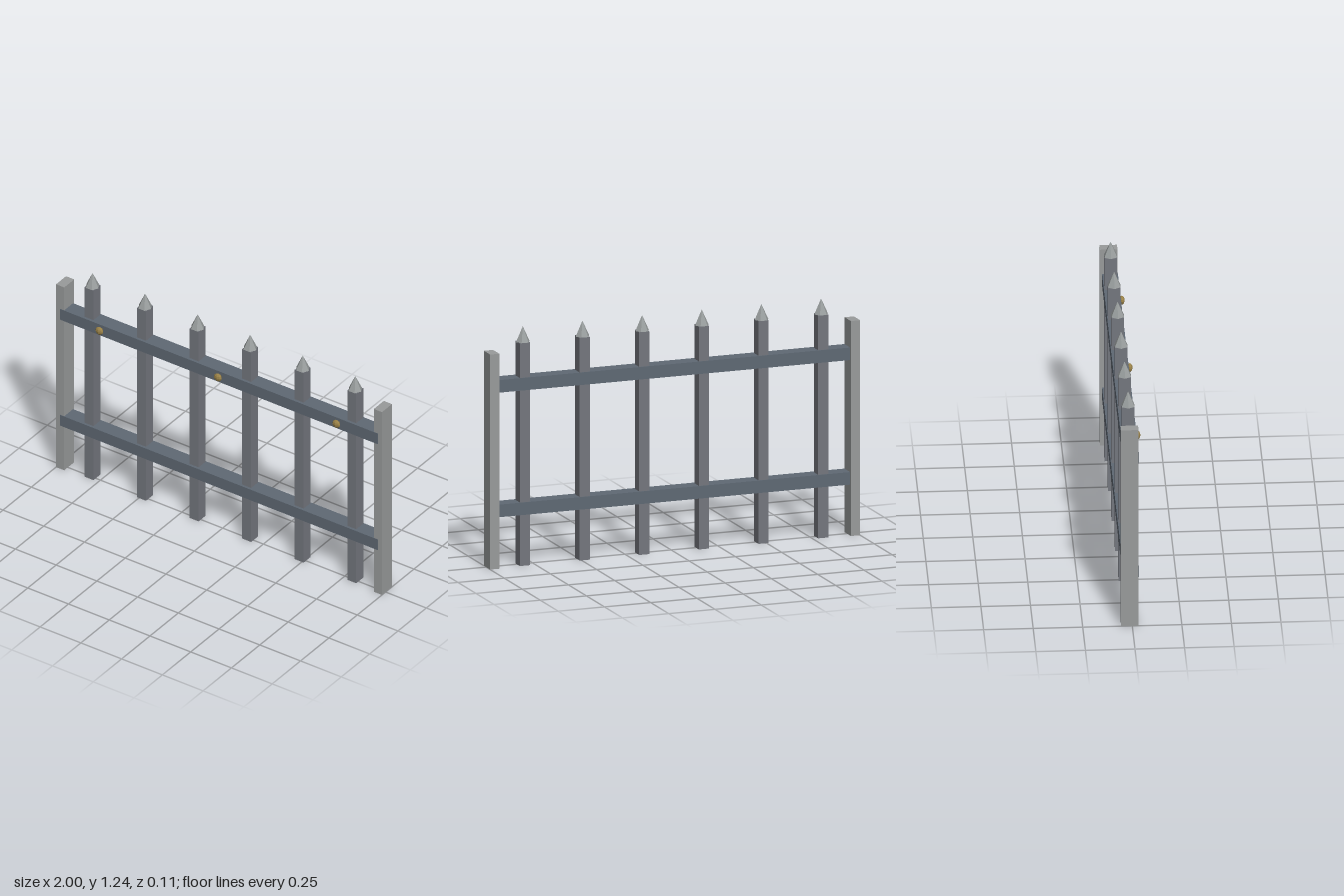
import * as THREE from 'three';

export function createModel() {
  const fence = new THREE.Group();
  fence.name = 'fence';

  const paint = (color) => new THREE.MeshStandardMaterial({ color, flatShading: true });
  const postGrey = paint(0x999b9b);
  const picketGrey = paint(0x74777e);
  const railGrey = paint(0x5f6974);
  const tipGrey = paint(0x999e9e);
  const brass = paint(0x9a8248);

  function add(name, geometry, material, x, y, z) {
    const mesh = new THREE.Mesh(geometry, material);
    mesh.name = name;
    mesh.position.set(x, y, z);
    fence.add(mesh);
    return mesh;
  }

  // End posts
  const post = new THREE.BoxGeometry(0.05, 1.115, 0.088);
  for (const side of [-1, 1]) {
    add(side > 0 ? 'leftPost' : 'rightPost', post, postGrey, side * 0.975, 0.5575, -0.012);
  }

  // Horizontal rails, just proud of the posts at the front
  const rail = new THREE.BoxGeometry(1.95, 0.065, 0.08);
  add('lowerRail', rail, railGrey, 0, 0.297, -0.006);
  add('upperRail', rail, railGrey, 0, 0.943, -0.006);

  // Pickets with six-sided points, one corner of each towards the side
  const picket = new THREE.BoxGeometry(0.055, 1.155, 0.062);
  const tip = new THREE.ConeGeometry(0.037, 0.08, 6).rotateY(Math.PI / 6);
  for (let i = 0; i < 6; i++) {
    const x = (i - 2.5) * 0.3225;
    add('picket', picket, picketGrey, x, 0.5775, -0.011);
    add('picketTip', tip, tipGrey, x, 1.195, -0.011);
  }

  // Flattened studs on the front of the upper rail
  const stud = new THREE.SphereGeometry(0.022, 8, 6).scale(1.05, 1, 0.64);
  for (const x of [-0.727, 0, 0.727]) add('stud', stud, brass, x, 0.943, 0.042);

  return fence;
}
